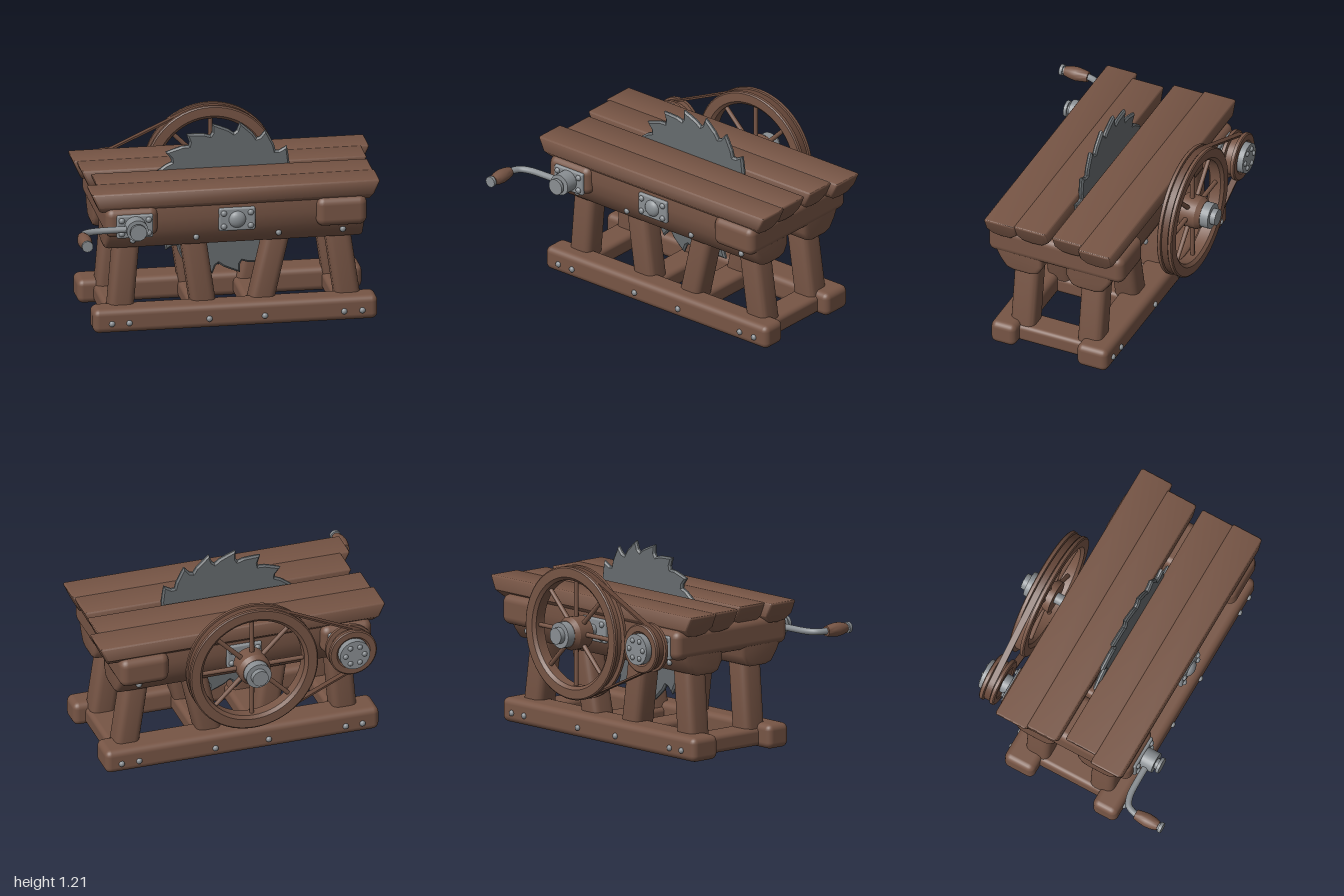
import * as THREE from 'three';
import { toCreasedNormals } from 'three/addons/utils/BufferGeometryUtils.js';
import { RoundedBoxGeometry } from 'three/addons/geometries/RoundedBoxGeometry.js';

const mat = (name, color) => Object.assign(new THREE.MeshStandardMaterial({ color }), { name });

export function createModel() {
  const wood = mat('wood', 0x775545), steel = mat('steel', 0x8a8f93);
  const bladeSteel = mat('bladeSteel', 0x666b6e), leather = mat('leather', 0x654638);
  const model = new THREE.Group();
  model.name = 'tableSaw';

  const AXLE = 0.05, CRANK = -0.6, Y = 0.72; // shaft positions

  const add = (name, geo, material, x = 0, y = 0, z = 0) => {
    const m = new THREE.Mesh(geo, material);
    m.name = name;
    m.position.set(x, y, z);
    model.add(m);
    return m;
  };
  const warp = (geo, rule) => {
    const p = geo.attributes.position, v = new THREE.Vector3();
    for (let i = 0; i < p.count; i++) {
      rule(v.fromBufferAttribute(p, i));
      p.setXYZ(i, v.x, v.y, v.z);
    }
    return toCreasedNormals(geo, 0.8);
  };
  // Rounded timber block given by its extents
  const block = (name, x0, x1, y0, y1, z0, z1, r) =>
    add(name, new RoundedBoxGeometry(x1 - x0, y1 - y0, z1 - z0, 3, r), wood, (x0 + x1) / 2, (y0 + y1) / 2, (z0 + z1) / 2);
  // Timber with a (z, y) cross-section running along x, narrower towards the bottom
  const timber = (name, pts, x0, x1, bevel, taper = 0) => {
    const shape = new THREE.Shape(pts.map(([z, y]) => new THREE.Vector2(-z, y)));
    const geo = new THREE.ExtrudeGeometry(shape, {
      depth: x1 - x0 - 2 * bevel, bevelThickness: bevel, bevelSize: bevel, bevelOffset: -bevel, bevelSegments: 3,
    });
    geo.rotateY(Math.PI / 2).translate(x0 + bevel, 0, 0);
    return add(name, warp(geo, v => { v.x -= Math.sign(v.x) * taper * (0.93 - v.y); }), wood);
  };
  // Round part along z
  const rod = (name, material, x, z0, z1, r0, r1 = r0) =>
    add(name, new THREE.CylinderGeometry(r1, r0, z1 - z0, 28).rotateX(Math.PI / 2), material, x, Y, (z0 + z1) / 2);
  const bolt = (x, y, z, r = 0.019) =>
    add('bolt', new THREE.SphereGeometry(r, 12, 8).scale(1, 1, 0.8), steel, x, y, z);
  const plate = (name, x, z, side) => {
    add(name, new RoundedBoxGeometry(0.23, 0.15, 0.03, 2, 0.012), steel, x, Y, z);
    for (const sx of [-1, 1]) for (const sy of [-1, 1]) bolt(x + sx * 0.085, Y + sy * 0.043, z + side * 0.017);
  };
  // Grooved ring spinning on the z axis
  const ring = (name, x, R, groove, inner) => {
    const pts = [[inner, -0.035], [inner + 0.02, -0.052], [R - 0.008, -0.052], [R, -0.046], [R, -0.026],
      [groove, -0.022], [groove, 0.022], [R, 0.026], [R, 0.046], [R - 0.008, 0.052],
      [inner + 0.02, 0.052], [inner, 0.035], [inner, -0.035]].map(p => new THREE.Vector2(...p));
    const geo = new THREE.LatheGeometry(pts, 56).rotateX(Math.PI / 2);
    add(name, toCreasedNormals(geo, 0.6), wood, x, Y, -0.605);
  };

  // Table top: four boards in two pairs with a slot for the blade
  for (const [z0, z1, x0, x1] of [[0.2, 0.41, -0.87, 0.955], [-0.01, 0.21, -0.81, 0.945],
    [-0.265, -0.055, -0.855, 0.95], [-0.475, -0.255, -0.875, 1.0]]) {
    timber('tableBoard', [[z0, 0.922], [z0 + 0.008, 0.93], [z1 - 0.008, 0.93], [z1, 0.922], [z1, 0.84],
      [z1 - 0.04, 0.8], [z1 - 0.1, 0.79], [z0 + 0.05, 0.795], [z0, 0.84]], x0, x1, 0.015, 0.45);
  }

  // Cross beams under the top
  block('crossBeam', -0.78, -0.45, 0.64, 0.83, -0.505, 0.425, 0.05);
  block('crossBeam', 0.55, 0.87, 0.64, 0.83, -0.505, 0.425, 0.05);

  // Long rails, mirrored about the blade plane
  const railProfile = [[0.05, 0.82], [0.05, 0.6], [0.085, 0.54], [0.13, 0.525], [0.25, 0.525], [0.3, 0.54],
    [0.345, 0.6], [0.375, 0.66], [0.39, 0.74], [0.385, 0.82]];
  timber('frontRail', railProfile, -0.77, 0.86, 0.025);
  timber('backRail', railProfile.map(([z, y]) => [-0.06 - z, y]).reverse(), -0.77, 0.86, 0.025);
  for (const x of [-0.6, -0.2, 0.32, 0.725]) {
    bolt(x, 0.6, 0.35);
    bolt(x, 0.6, -0.41);
  }

  // Slanted legs and the base ties that join them
  for (const [bottom, top] of [[-0.66, -0.62], [-0.13, -0.2], [0.22, 0.33], [0.78, 0.71]]) {
    for (const z of [0.197, -0.262]) {
      const geo = warp(new RoundedBoxGeometry(0.16, 0.6, 0.165, 3, 0.045),
        v => { v.x += (top - bottom) * v.y / 0.48; });
      add('leg', geo, wood, (bottom + top) / 2, 0.32, z);
    }
    block('baseTie', bottom - 0.09, bottom + 0.09, 0.01, 0.125, -0.3, 0.27, 0.03);
  }

  // Base runners
  block('frontRunner', -0.85, 0.945, 0, 0.155, 0.2, 0.37, 0.04);
  block('backRunner', -0.85, 0.945, 0, 0.155, -0.43, -0.22, 0.04);
  for (const x of [-0.735, -0.625, -0.12, 0.23, 0.73, 0.845]) {
    bolt(x, 0.065, 0.373);
    bolt(x, 0.065, -0.433);
  }

  // Saw blade with raked teeth
  const teeth = 18, outline = [];
  for (let i = 0; i < teeth; i++) {
    for (const [da, r] of [[0, 0.5], [5, 0.478], [12, 0.452], [16.5, 0.43], [18.5, 0.445]]) {
      const a = THREE.MathUtils.degToRad(100 - i * 20 - da);
      outline.push(new THREE.Vector2(Math.cos(a) * r, Math.sin(a) * r));
    }
  }
  const bladeGeo = new THREE.ExtrudeGeometry(new THREE.Shape(outline),
    { depth: 0.012, bevelThickness: 0.01, bevelSize: 0.012, bevelOffset: -0.012, bevelSegments: 1 });
  add('sawBlade', bladeGeo, bladeSteel, AXLE, Y, -0.025);
  rod('bladeCollar', steel, AXLE, -0.085, -0.03, 0.12);
  rod('bladeNut', steel, AXLE, -0.02, 0.025, 0.08);

  // Blade axle and its bearings
  rod('bladeAxle', steel, AXLE, -0.75, 0.39, 0.036);
  plate('frontBearingPlate', AXLE, 0.39, 1);
  add('axleCap', new THREE.SphereGeometry(0.055, 20, 12).scale(1, 1, 0.6), steel, AXLE, Y, 0.4);
  plate('backBearingPlate', AXLE, -0.452, -1);

  // Spoked drive wheel
  ring('wheelRim', AXLE, 0.42, 0.395, 0.335);
  for (let i = 0; i < 8; i++) {
    const geo = new THREE.CylinderGeometry(0.014, 0.016, 0.3, 10).translate(0, 0.2, 0).rotateZ(i * Math.PI / 4);
    add('wheelSpoke', geo, wood, AXLE, Y, -0.605);
  }
  rod('wheelHub', wood, AXLE, -0.66, -0.555, 0.105);
  rod('hubFlange', wood, AXLE, -0.69, -0.66, 0.085, 0.105);
  rod('hubCollar', steel, AXLE, -0.745, -0.69, 0.082);
  rod('hubEnd', steel, AXLE, -0.78, -0.745, 0.052);

  // Small pulley on the crank shaft
  ring('pulleyRim', CRANK, 0.155, 0.128, 0.09);
  rod('pulleyDisc', wood, CRANK, -0.645, -0.56, 0.12);
  rod('pulleyCap', steel, CRANK, -0.69, -0.64, 0.098);
  for (let i = 0; i < 6; i++) bolt(CRANK + 0.062 * Math.cos(i * Math.PI / 3), Y + 0.062 * Math.sin(i * Math.PI / 3), -0.69, 0.017);
  rod('pulleyCollar', steel, CRANK, -0.56, -0.5, 0.062);
  plate('pulleyPlate', CRANK, -0.5, -1);

  // Drive belt: two arcs joined by tangents
  const loop = (T, t) => {
    const r = 0.13 + t, R = 0.4 + t, a = Math.acos((r - R) / (AXLE - CRANK));
    const path = new T();
    path.absarc(CRANK, Y, r, a, 2 * Math.PI - a, false);
    path.absarc(AXLE, Y, R, -a, a, false);
    path.closePath();
    return path;
  };
  const belt = loop(THREE.Shape, 0.012);
  belt.holes.push(loop(THREE.Path, 0));
  const beltGeo = new THREE.ExtrudeGeometry(belt, { depth: 0.04, bevelEnabled: false, curveSegments: 40 });
  add('driveBelt', toCreasedNormals(beltGeo, 0.6), leather, 0, 0, -0.625);

  // Hand crank
  rod('crankShaft', steel, CRANK, -0.6, 0.45, 0.036);
  plate('crankPlate', CRANK, 0.425, 1);
  rod('crankCollar', steel, CRANK, 0.44, 0.525, 0.068);
  rod('crankNeck', steel, CRANK, 0.525, 0.545, 0.035);
  rod('crankNut', steel, CRANK, 0.545, 0.565, 0.052);
  const arm = new THREE.CatmullRomCurve3([[-0.62, 0.48], [-0.75, 0.48], [-0.87, 0.488], [-0.93, 0.515],
    [-0.955, 0.57], [-0.957, 0.6]].map(([x, z]) => new THREE.Vector3(x, Y, z)));
  add('crankArm', new THREE.TubeGeometry(arm, 32, 0.021, 12), steel);
  const grip = [[0.001, 0], [0.032, 0], [0.04, 0.04], [0.045, 0.08], [0.041, 0.12], [0.03, 0.16], [0.001, 0.16]];
  add('crankGrip', toCreasedNormals(new THREE.LatheGeometry(grip.map(p => new THREE.Vector2(...p)), 24).rotateX(Math.PI / 2), 0.7),
    wood, -0.957, Y, 0.58);
  rod('gripNeck', steel, -0.957, 0.735, 0.755, 0.024);
  rod('gripCap', steel, -0.957, 0.75, 0.77, 0.035);

  return model;
}
